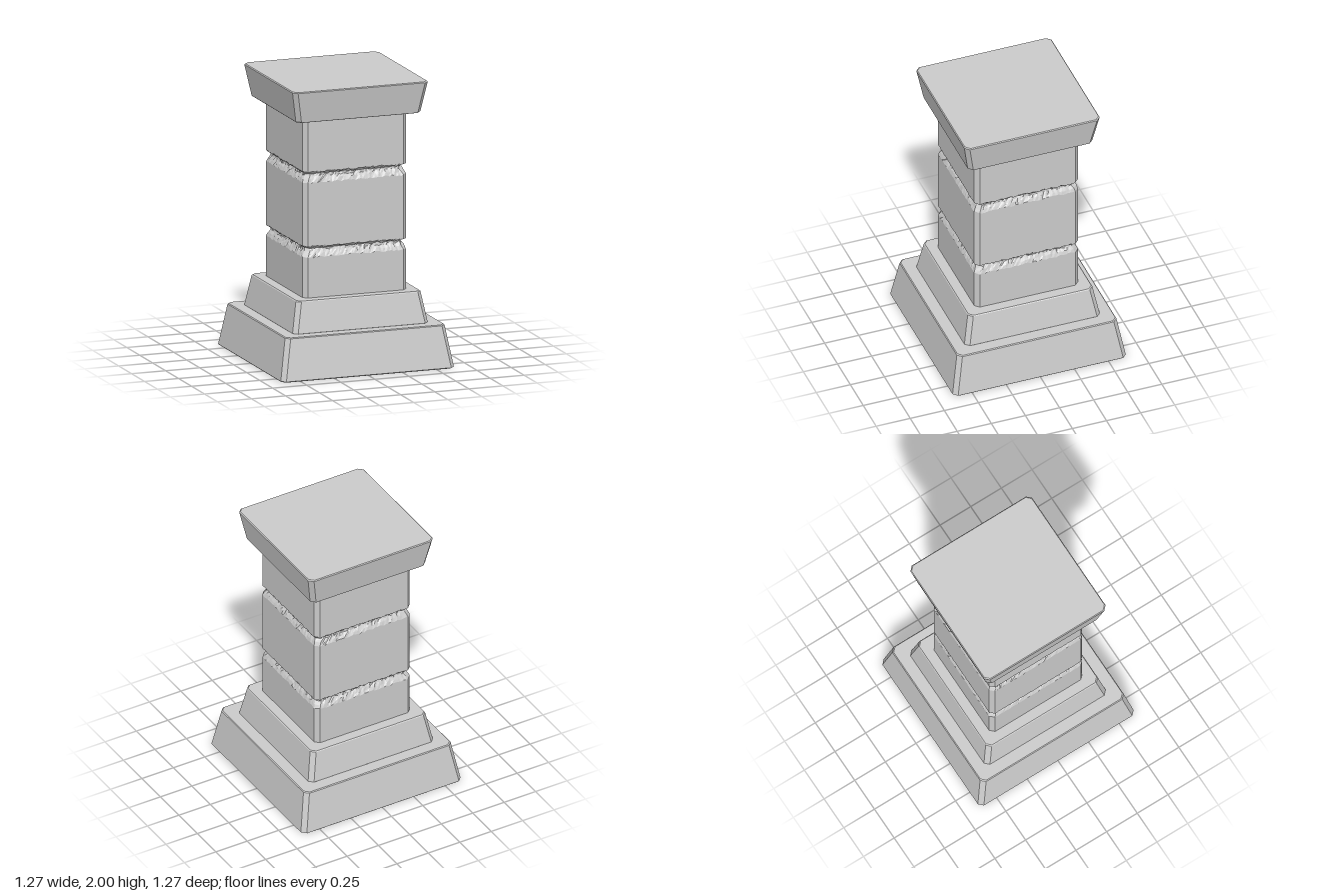
import * as THREE from 'three';

// Repeatable noise in -1..1
function makeNoise(seed) {
  let s = seed;
  return () => {
    s = (s * 16807) % 2147483647;
    return (s / 2147483647) * 2 - 1;
  };
}

// Unit outline of a chamfered square: each corner has two points, each side n segments
function outline(half, chamfer, n) {
  const pts = [];
  const e = half - chamfer;
  for (let side = 0; side < 4; side++) {
    const c = [1, 0, -1, 0][side], s = [0, 1, 0, -1][side];
    for (let i = 0; i <= n; i++) {
      const t = -e + (2 * e * i) / n;
      pts.push([half * c - t * s, -(half * s + t * c)]);
    }
  }
  return pts;
}

// Stack of chamfered square rings { y, half, jag, rough }, closed at both ends
function loft(rings, chamfer, n = 1, seed = 7) {
  const noise = makeNoise(seed);
  const pos = [], index = [];
  const count = 4 * (n + 1);
  for (const { y, half, jag = 0, rough = 0 } of rings) {
    for (const [x, z] of outline(half, chamfer, n)) {
      const k = 1 + (rough * noise()) / half;
      pos.push(x * k, y + jag * noise(), z * k);
    }
  }
  for (let r = 0; r < rings.length - 1; r++) {
    for (let j = 0; j < count; j++) {
      const a = r * count + j, b = r * count + ((j + 1) % count);
      index.push(a, b, b + count, a, b + count, a + count);
    }
  }
  const last = (rings.length - 1) * count, mid = rings.length * count;
  pos.push(0, rings[0].y, 0, 0, rings[rings.length - 1].y, 0);
  for (let j = 0; j < count; j++) {
    const k = (j + 1) % count;
    index.push(mid, k, j, mid + 1, last + j, last + k);
  }
  const g = new THREE.BufferGeometry();
  g.setAttribute('position', new THREE.Float32BufferAttribute(pos, 3));
  g.setIndex(index);
  const flat = g.toNonIndexed();
  flat.computeVertexNormals();
  return flat;
}

// Tapered slab with slightly softened rims
function slab(y0, y1, half0, half1) {
  const b = 0.006;
  return loft([
    { y: y0, half: half0 - b },
    { y: y0 + b, half: half0 },
    { y: y1 - b, half: half1 },
    { y: y1, half: half1 - b },
  ], 0.03);
}

// Worn mortar groove: ragged overhang above, rough sloping ledge below
function groove(y) {
  return [
    { y: y - 0.04, half: 0.38, jag: 0.007 },
    { y: y - 0.018, half: 0.37, jag: 0.006, rough: 0.003 },
    { y: y + 0.002, half: 0.357, jag: 0.005, rough: 0.005 },
    { y: y + 0.018, half: 0.354, jag: 0.004, rough: 0.005 },
    { y: y + 0.027, half: 0.368, jag: 0.004, rough: 0.004 },
    { y: y + 0.036, half: 0.38, jag: 0.006 },
  ];
}

export function createModel() {
  const model = new THREE.Group();
  model.name = 'pillar';
  const stone = new THREE.MeshStandardMaterial({ color: 0xcccccc, flatShading: true });
  const add = (name, geometry) => {
    const mesh = new THREE.Mesh(geometry, stone);
    mesh.name = name;
    model.add(mesh);
  };

  // Stepped foot
  add('plinth', slab(0, 0.3, 0.635, 0.585));
  add('upperStep', slab(0.295, 0.52, 0.496, 0.457));

  // Square shaft cut by two rough grooves
  add('shaft', loft([
    { y: 0.51, half: 0.38 },
    ...groove(0.845),
    ...groove(1.37),
    { y: 1.79, half: 0.38 },
  ], 0.03, 40));

  // Flaring top
  add('capital', slab(1.775, 2, 0.457, 0.496));
  return model;
}
